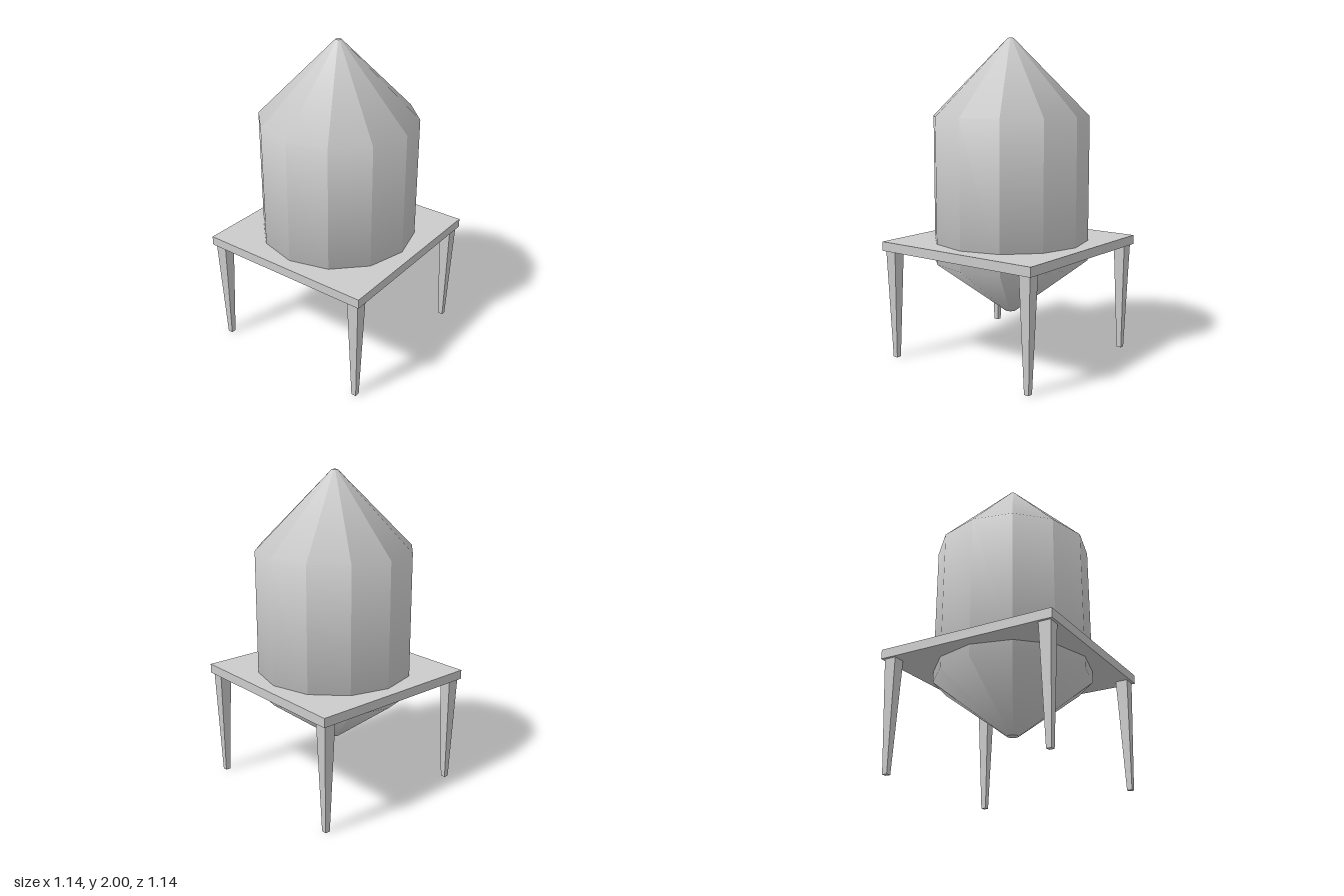
import * as THREE from 'three';

const SIDES = 12;

// Faceted around the axis, smooth along the profile: every panel's normals share one heading.
function panelledLathe(profile) {
  const geo = new THREE.LatheGeometry(profile.map(([r, y]) => new THREE.Vector2(r, y)), SIDES).toNonIndexed();
  const normal = geo.attributes.normal;
  const perPanel = normal.count / SIDES;
  for (let i = 0; i < normal.count; i++) {
    const heading = (Math.floor(i / perPanel) + 0.5) * (2 * Math.PI / SIDES);
    const flat = Math.hypot(normal.getX(i), normal.getZ(i));
    normal.setXYZ(i, flat * Math.sin(heading), normal.getY(i), flat * Math.cos(heading));
  }
  return geo;
}

export function createModel() {
  const model = new THREE.Group();
  model.name = 'silo';
  const grey = new THREE.MeshStandardMaterial({ color: 0xcccccc });
  const flatGrey = new THREE.MeshStandardMaterial({ color: 0xcccccc, flatShading: true });

  function add(name, geometry, material, x, y, z) {
    const mesh = new THREE.Mesh(geometry, material);
    mesh.name = name;
    mesh.position.set(x, y, z);
    model.add(mesh);
    return mesh;
  }

  // Tank: bottom hopper, straight wall and conical roof
  add('tank', panelledLathe([[0.035, 0.278], [0.49, 0.62], [0.49, 1.525], [0.018, 2]]), grey, 0, 0, 0);

  // Small flat ends of the cones
  add('roofCap', new THREE.CircleGeometry(0.018, SIDES), flatGrey, 0, 2, 0).rotation.x = -Math.PI / 2;
  add('hopperCap', new THREE.CircleGeometry(0.035, SIDES), flatGrey, 0, 0.278, 0).rotation.x = Math.PI / 2;

  // Square platform around the tank
  add('platform', new THREE.BoxGeometry(1.14, 0.058, 1.14), flatGrey, 0, 0.719, 0);

  // Four square legs tapering to the ground
  const legHeight = 0.69;
  const leg = new THREE.CylinderGeometry(0.038 * Math.SQRT2, 0.016 * Math.SQRT2, legHeight, 4);
  leg.rotateY(Math.PI / 4);
  for (const [sx, side] of [[1, 'Left'], [-1, 'Right']]) {
    for (const [sz, end] of [[1, 'front'], [-1, 'back']]) {
      add(end + side + 'Leg', leg, flatGrey, sx * 0.516, legHeight / 2, sz * 0.516);
    }
  }
  return model;
}
